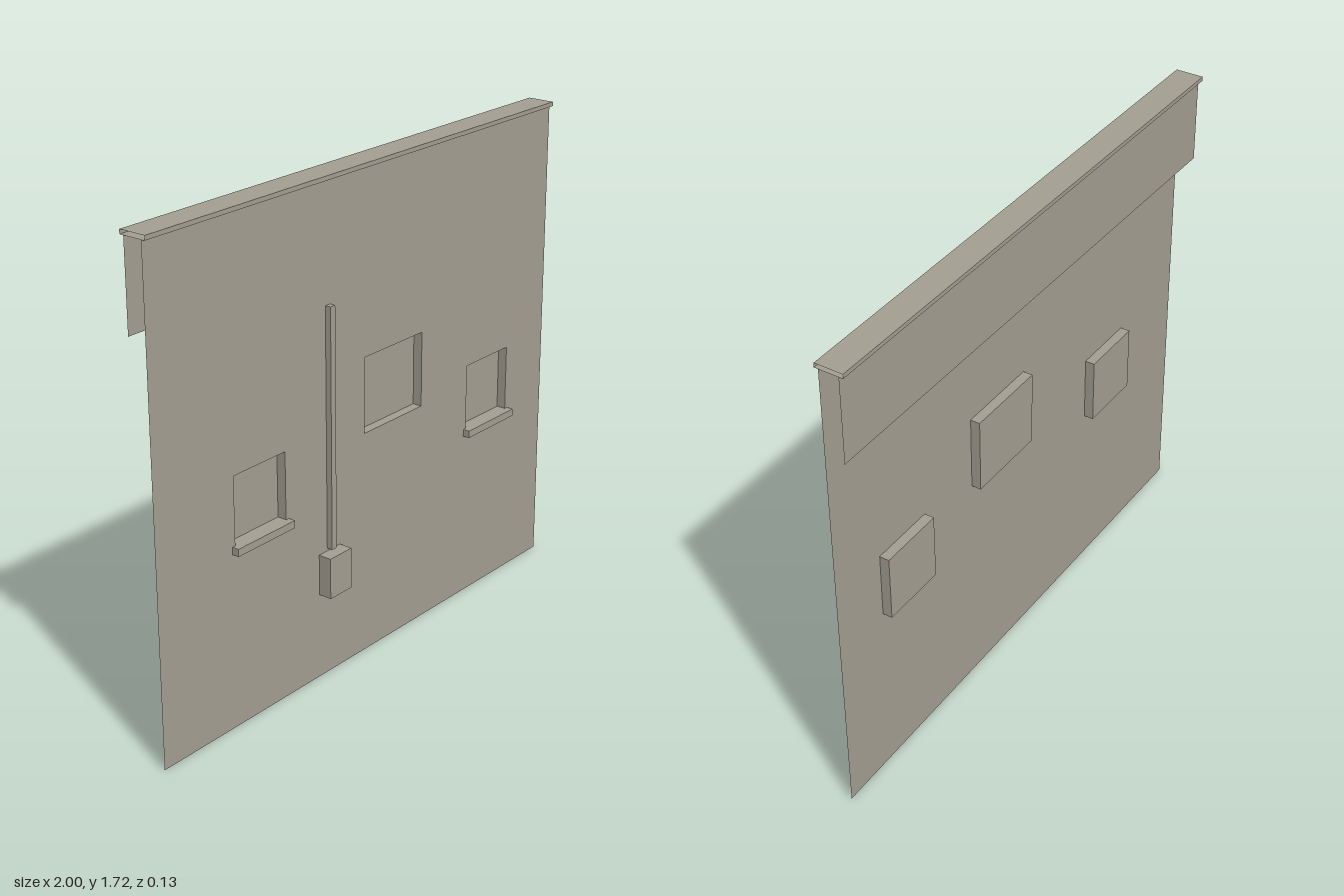
import * as THREE from 'three';

const WALL_Z = 0.018;
const RECESS_Z = -0.016;
const EAVE_Y = 1.705;
const TOP_Y = 1.72;

// Each opening: x0, x1, y0, y1
const OPENINGS = [
  { name: 'leftWindow', x0: 0.543, x1: 0.781, y0: 0.637, y1: 0.872, sill: true },
  { name: 'centreWindow', x0: -0.023, x1: 0.283, y0: 0.804, y1: 1.07, sill: false },
  { name: 'rightWindow', x0: -0.655, x1: -0.417, y0: 0.637, y1: 0.872, sill: true },
];

export function createModel() {
  const model = new THREE.Group();
  model.name = 'facade';
  const plaster = new THREE.MeshStandardMaterial({ color: 0xa49f92, side: THREE.DoubleSide });
  plaster.name = 'plaster';

  const add = (parent, name, geometry, x, y, z) => {
    const mesh = new THREE.Mesh(geometry, plaster);
    mesh.name = name;
    mesh.position.set(x, y, z);
    parent.add(mesh);
    return mesh;
  };
  const block = (name, x0, x1, y0, y1, z0, z1) =>
    add(model, name, new THREE.BoxGeometry(x1 - x0, y1 - y0, z1 - z0),
      (x0 + x1) / 2, (y0 + y1) / 2, (z0 + z1) / 2);

  // Thin wall sheet with window openings
  const rect = (path, x0, x1, y0, y1) =>
    path.moveTo(x0, y0).lineTo(x1, y0).lineTo(x1, y1).lineTo(x0, y1).closePath();
  const outline = rect(new THREE.Shape(), -1, 1, 0, EAVE_Y);
  for (const o of OPENINGS) outline.holes.push(rect(new THREE.Path(), o.x0, o.x1, o.y0, o.y1));
  add(model, 'wall', new THREE.ShapeGeometry(outline), 0, 0, WALL_Z);

  // Window recesses: a pane and four reveals, with sills below
  const depth = WALL_Z - RECESS_Z;
  for (const o of OPENINGS) {
    const w = o.x1 - o.x0, h = o.y1 - o.y0;
    const recess = new THREE.Group();
    recess.name = o.name;
    recess.position.set((o.x0 + o.x1) / 2, (o.y0 + o.y1) / 2, RECESS_Z);
    model.add(recess);
    add(recess, 'pane', new THREE.PlaneGeometry(w, h), 0, 0, 0);
    for (const s of [-1, 1]) {
      add(recess, 'sideReveal', new THREE.PlaneGeometry(depth, h).rotateY(-s * Math.PI / 2),
        s * w / 2, 0, depth / 2);
      add(recess, s > 0 ? 'topReveal' : 'bottomReveal',
        new THREE.PlaneGeometry(w, depth).rotateX(s * Math.PI / 2), 0, s * h / 2, depth / 2);
    }
    if (o.sill) block(o.name + 'Sill', o.x0 - 0.013, o.x1 + 0.014, 0.611, 0.637, WALL_Z, 0.043);
  }

  // Service box and its conduit
  block('serviceBox', -0.257, -0.15, 0.305, 0.45, WALL_Z, 0.066);
  block('conduit', -0.216, -0.193, 0.46, 1.3, WALL_Z, 0.039);

  // Coping: an open-ended sleeve along the top edge
  const z0 = -0.066, z1 = 0.032, midZ = (z0 + z1) / 2, lip = TOP_Y - EAVE_Y;
  const midY = (TOP_Y + EAVE_Y) / 2;
  add(model, 'copingTop', new THREE.PlaneGeometry(2, z1 - z0).rotateX(-Math.PI / 2), 0, TOP_Y, midZ);
  add(model, 'copingUnderside', new THREE.PlaneGeometry(2, z1 - z0).rotateX(Math.PI / 2), 0, EAVE_Y, midZ);
  add(model, 'copingFront', new THREE.PlaneGeometry(2, lip), 0, midY, z1);
  add(model, 'copingBack', new THREE.PlaneGeometry(2, lip).rotateY(Math.PI), 0, midY, z0);

  // Short parapet sheet hanging behind
  add(model, 'parapetBack', new THREE.PlaneGeometry(2, 0.3).rotateY(Math.PI), 0, EAVE_Y - 0.15, -0.051);

  return model;
}
